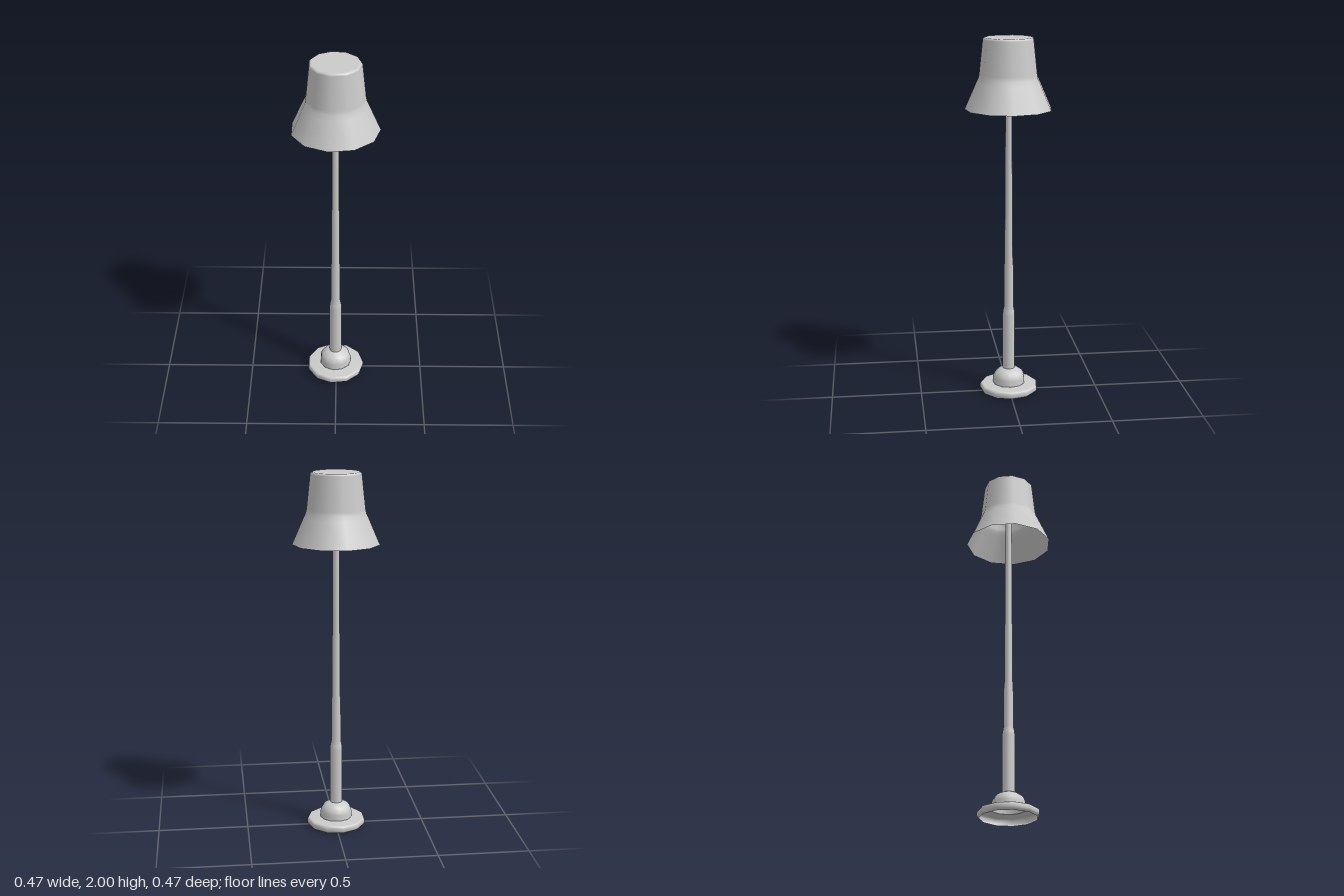
import * as THREE from 'three';

const SIDES = 11;
const material = new THREE.MeshStandardMaterial({ color: 0xcccccc, side: THREE.DoubleSide });

// Turned part with a corner pointing to +x; profile is [radius, height] from bottom to top
function turned(name, profile) {
  const points = profile.map(([r, y]) => new THREE.Vector2(r, y));
  const mesh = new THREE.Mesh(new THREE.LatheGeometry(points, SIDES, Math.PI / 2), material);
  mesh.name = name;
  return mesh;
}

export function createModel() {
  const lamp = new THREE.Group();
  lamp.name = 'floorLamp';

  // Hollow foot: rounded disc rim stepping up into a dome
  lamp.add(turned('base', [
    [0.153, 0], [0.161, 0.006], [0.165, 0.015], [0.165, 0.03], [0.161, 0.038], [0.153, 0.043],
    [0.092, 0.045], [0.09, 0.047], [0.09, 0.078], [0.085, 0.096], [0.073, 0.114],
    [0.055, 0.127], [0.034, 0.135],
  ]));

  // Pole: thick lower sleeve narrowing to a slender stem inside the shade
  lamp.add(turned('pole', [
    [0.035, 0.133], [0.035, 0.45], [0.033, 0.472], [0.027, 0.5], [0.026, 0.74],
    [0.023, 0.76], [0.022, 1.1], [0.02, 1.12], [0.019, 1.55], [0.018, 1.99],
  ]));

  // Shade: flared skirt, open below, with a closed softly bevelled top
  lamp.add(turned('shade', [
    [0.238, 1.615], [0.176, 1.757], [0.164, 1.782], [0.159, 1.804],
    [0.139, 1.988], [0.137, 1.995], [0.13, 2], [0.127, 2], [0, 2],
  ]));

  // Centre the odd-sided outline
  lamp.children.forEach((part) => { part.position.x = -0.005; });
  return lamp;
}
